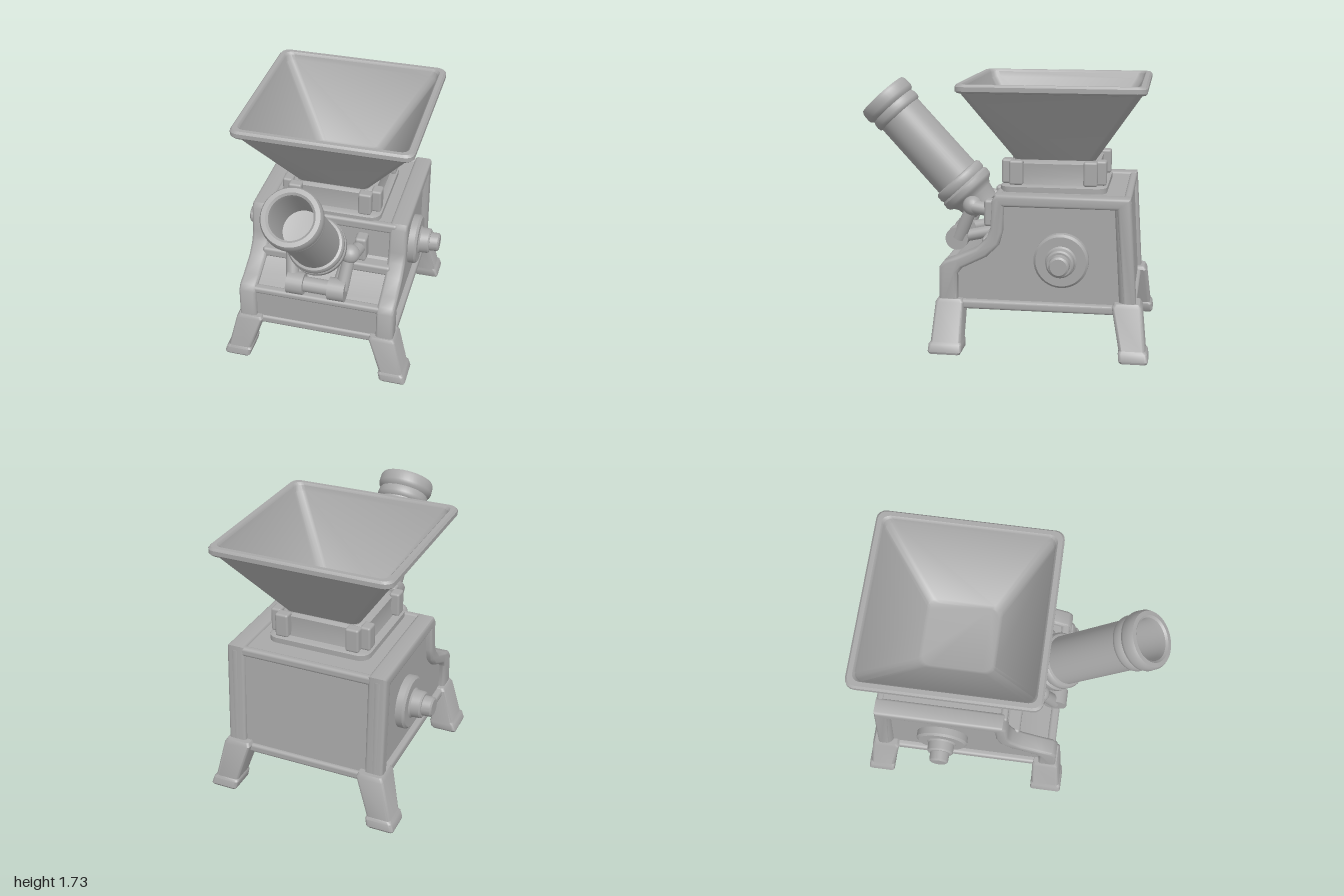
import * as THREE from 'three';
import { toCreasedNormals } from 'three/addons/utils/BufferGeometryUtils.js';
import { RoundedBoxGeometry } from 'three/addons/geometries/RoundedBoxGeometry.js';

const metal = new THREE.MeshStandardMaterial({ color: 0xa8a8a8 });
metal.name = 'castMetal';

export function createModel() {
  const model = new THREE.Group();
  model.name = 'hopperCannon';

  function add(name, geo, x = 0, y = 0, z = 0, parent = model) {
    const mesh = new THREE.Mesh(geo, metal);
    mesh.name = name;
    mesh.position.set(x, y, z);
    parent.add(mesh);
    return mesh;
  }

  // Skin through rounded rectangles: [halfX, halfZ, y, cornerRadius, centreX, centreZ]
  function loft(rings, crease = 0.6) {
    const pos = [], index = [], seg = 4, n = 4 * (seg + 1);
    rings.forEach(([hx, hz, y, r, cx = 0, cz = 0]) => {
      for (let q = 0; q < 4; q++) {
        const sx = q === 0 || q === 3 ? 1 : -1, sz = q < 2 ? 1 : -1;
        for (let k = 0; k <= seg; k++) {
          const a = (q + k / seg) * Math.PI / 2;
          pos.push(cx + sx * (hx - r) + r * Math.cos(a), y, cz + sz * (hz - r) + r * Math.sin(a));
        }
      }
    });
    for (let i = 0; i < rings.length - 1; i++) {
      for (let j = 0; j < n; j++) {
        const a = i * n + j, b = i * n + (j + 1) % n;
        index.push(a, a + n, b + n, a, b + n, b);
      }
    }
    // Close both ends
    const last = (rings.length - 1) * n;
    for (let j = 1; j < n - 1; j++) {
      index.push(0, j, j + 1, last, last + j + 1, last + j);
    }
    const geo = new THREE.BufferGeometry();
    geo.setAttribute('position', new THREE.Float32BufferAttribute(pos, 3));
    geo.setIndex(index);
    return toCreasedNormals(geo, crease);
  }

  // Side outline (z, y) extruded across the width and centred on x
  function slab(points, width, hole, bevel = 0) {
    const shape = new THREE.Shape(points.map(p => new THREE.Vector2(...p)));
    if (hole) shape.holes.push(new THREE.Path(hole.map(p => new THREE.Vector2(...p))));
    const depth = width - 2 * bevel;
    const geo = new THREE.ExtrudeGeometry(shape, {
      depth, bevelEnabled: bevel > 0, bevelSize: bevel, bevelThickness: bevel,
      bevelOffset: -bevel, bevelSegments: 3,
    });
    geo.translate(0, 0, -depth / 2).rotateY(-Math.PI / 2);
    return toCreasedNormals(geo, 0.7);
  }

  function lathe(points, sides = 40) {
    return toCreasedNormals(new THREE.LatheGeometry(points.map(p => new THREE.Vector2(...p)), sides), 0.6);
  }

  // Round bar between two points
  function bar(name, a, b, r0, r1 = r0) {
    const from = new THREE.Vector3(...a), to = new THREE.Vector3(...b), d = to.clone().sub(from);
    const mesh = add(name, new THREE.CylinderGeometry(r1, r0, d.length(), 20));
    mesh.position.copy(from).addScaledVector(d, 0.5);
    mesh.quaternion.setFromUnitVectors(new THREE.Vector3(0, 1, 0), d.normalize());
  }

  // Housing core
  add('housing', slab([
    [0.33, 0.28], [0.33, 0.55], [0.24, 0.59], [0.08, 0.67], [0.0, 0.75],
    [-0.02, 1.02], [-0.84, 1.02], [-0.885, 0.28],
  ], 1.0));

  // Raised frames on both sides, with corner posts
  const outer = [
    [0.36, 0.28], [0.36, 0.55], [0.33, 0.59], [0.25, 0.62], [0.12, 0.68], [0.05, 0.75],
    [0.025, 0.82], [0.015, 1.0], [-0.01, 1.035], [-0.86, 1.035], [-0.91, 0.28],
  ];
  const inner = [
    [0.24, 0.34], [0.24, 0.51], [0.21, 0.55], [0.05, 0.63], [-0.03, 0.71],
    [-0.055, 0.8], [-0.06, 0.96], [-0.775, 0.96], [-0.825, 0.34],
  ];
  for (const s of [1, -1]) {
    const side = s > 0 ? 'left' : 'right';
    add(side + 'Frame', slab(outer, 0.12, inner, 0.02), s * 0.48);
    bar(side + 'BackPost', [s * 0.485, 0.3, -0.855], [s * 0.485, 1.0, -0.81], 0.055);

    // Axle hub
    const hub = add(side + 'Hub', lathe([
      [0, 0], [0.175, 0], [0.175, 0.045], [0.16, 0.06], [0.1, 0.06], [0.09, 0.07],
      [0.088, 0.125], [0.078, 0.135], [0.066, 0.135], [0.064, 0.19], [0.052, 0.2], [0, 0.2],
    ]), s * 0.5, 0.625, -0.43);
    hub.rotation.z = -s * Math.PI / 2;

    // Splayed legs
    add(side + 'FrontLeg', loft([
      [0.085, 0.1, 0, 0.02, s * 0.56, 0.31], [0.092, 0.11, 0.015, 0.02, s * 0.557, 0.31],
      [0.09, 0.108, 0.06, 0.02, s * 0.545, 0.308], [0.08, 0.1, 0.075, 0.02, s * 0.54, 0.305],
      [0.092, 0.092, 0.325, 0.02, s * 0.468, 0.29], [0.08, 0.08, 0.345, 0.02, s * 0.465, 0.29],
    ]));
    add(side + 'BackLeg', loft([
      [0.085, 0.085, 0, 0.02, s * 0.56, -0.9], [0.092, 0.094, 0.015, 0.02, s * 0.557, -0.9],
      [0.09, 0.092, 0.06, 0.02, s * 0.545, -0.895], [0.08, 0.084, 0.075, 0.02, s * 0.54, -0.89],
      [0.092, 0.095, 0.335, 0.02, s * 0.468, -0.85], [0.08, 0.08, 0.36, 0.02, s * 0.465, -0.85],
    ]));

    // Barrel mount: wall bracket, elbow, swing arm and pivot
    add(side + 'Bracket', new RoundedBoxGeometry(0.08, 0.18, 0.1, 3, 0.02), s * 0.245, 0.86, 0.06);
    bar(side + 'BracketPin', [s * 0.24, 0.87, 0.05], [s * 0.22, 0.89, 0.2], 0.045);
    add(side + 'Elbow', new THREE.SphereGeometry(0.066, 20, 14), s * 0.2, 0.89, 0.2);
    bar(side + 'SwingArm', [s * 0.2, 0.89, 0.2], [s * 0.17, 0.66, 0.3], 0.04, 0.045);
    bar(side + 'Pivot', [s * 0.085, 0.66, 0.31], [s * 0.2, 0.66, 0.31], 0.077);
    bar(side + 'PivotStrut', [s * 0.14, 0.66, 0.3], [s * 0.14, 0.72, 0.03], 0.04);
  }
  bar('pivotBar', [-0.1, 0.66, 0.31], [0.1, 0.66, 0.31], 0.052);

  // Cross rails on the front, back and top
  add('frontLedge', new RoundedBoxGeometry(0.94, 0.05, 0.06, 3, 0.02), 0, 0.555, 0.315);
  add('stepRail', new RoundedBoxGeometry(0.9, 0.07, 0.1, 3, 0.02), 0, 0.7, 0.045);
  add('frontBottomRail', new RoundedBoxGeometry(0.94, 0.06, 0.06, 3, 0.02), 0, 0.31, 0.315);
  add('backBottomRail', new RoundedBoxGeometry(0.94, 0.06, 0.05, 3, 0.02), 0, 0.31, -0.88);
  add('backTopRail', new RoundedBoxGeometry(0.94, 0.06, 0.05, 3, 0.02), 0, 1.0, -0.835);
  add('frontTopRail', new RoundedBoxGeometry(0.94, 0.07, 0.05, 3, 0.02), 0, 0.995, -0.01);

  // Collar between housing and hopper
  const collar = new THREE.Group();
  collar.name = 'collar';
  collar.position.z = -0.35;
  model.add(collar);
  add('collarPlate', loft([[0.345, 0.345, 1.02, 0.07], [0.345, 0.345, 1.055, 0.07], [0.33, 0.33, 1.065, 0.07]]), 0, 0, 0, collar);
  add('collarWall', loft([[0.3, 0.3, 1.05, 0.1], [0.285, 0.285, 1.12, 0.1], [0.29, 0.29, 1.2, 0.1], [0.26, 0.26, 1.22, 0.08]]), 0, 0, 0, collar);
  for (let i = 0; i < 4; i++) {
    const a = i * Math.PI / 2, c = Math.round(Math.cos(a)), s = Math.round(Math.sin(a));
    for (const t of [-0.24, 0.24]) {
      add('collarRib', new RoundedBoxGeometry(c ? 0.07 : 0.09, 0.16, c ? 0.09 : 0.07, 2, 0.015),
        c * 0.305 - s * t, 1.145, s * 0.305 + c * t, collar);
    }
  }

  // Open hopper with a rolled square rim
  add('hopper', loft([
    [0.26, 0.27, 1.18, 0.05], [0.25, 0.265, 1.22, 0.05], [0.565, 0.565, 1.675, 0.05],
    [0.585, 0.585, 1.678, 0.06], [0.595, 0.595, 1.69, 0.06], [0.595, 0.595, 1.718, 0.06],
    [0.583, 0.583, 1.732, 0.055], [0.555, 0.555, 1.732, 0.05], [0.543, 0.543, 1.718, 0.05],
    [0.538, 0.538, 1.68, 0.06], [0.24, 0.25, 1.235, 0.06], [0.22, 0.23, 1.225, 0.06],
  ]), 0, 0, -0.35);

  // Hollow barrel with bands, leaning forward
  const barrel = add('barrel', lathe([
    [0, -0.17], [0.09, -0.17], [0.125, -0.14], [0.14, -0.06], [0.16, -0.03], [0.18, -0.02],
    [0.192, 0], [0.192, 0.035], [0.18, 0.05], [0.188, 0.065], [0.188, 0.1], [0.178, 0.115],
    [0.162, 0.12], [0.16, 0.69], [0.172, 0.7], [0.178, 0.72], [0.174, 0.75], [0.168, 0.765],
    [0.184, 0.78], [0.19, 0.8], [0.188, 0.85], [0.178, 0.87], [0.15, 0.872], [0.136, 0.86],
    [0.13, 0.82], [0.128, 0.5], [0, 0.49],
  ], 48), 0, 0.955, 0.265);
  barrel.rotation.x = 0.742;

  return model;
}
